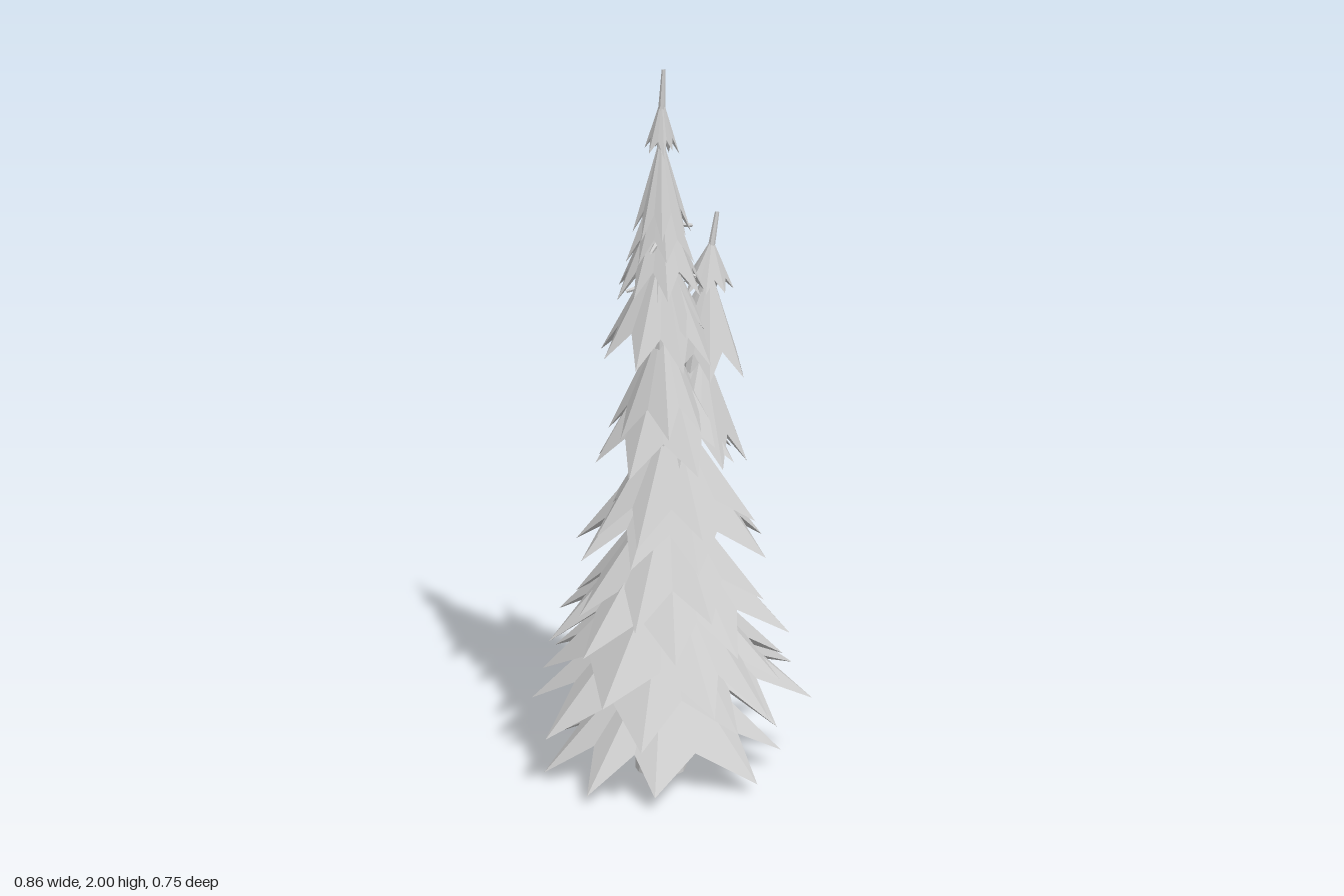
import * as THREE from 'three';

// Small seeded generator for natural irregularity
function seeded(seed) {
  let s = seed;
  return () => (s = (s * 16807) % 2147483647) / 2147483647;
}

// Ring of bough tips [x, z, y] around a centre, slightly uneven and flatter in depth
function ringOfTips(n, cx, radius, depth, tipY, turn, rand) {
  return Array.from({ length: n }, (_, i) => {
    const a = turn + (i + (rand() - 0.5) * 0.4) * 2 * Math.PI / n;
    const r = radius * (0.88 + rand() * 0.17);
    return [cx + Math.cos(a) * r, Math.sin(a) * r * depth, tipY + (rand() - 0.4) * 0.03];
  });
}

// One drooping skirt of broad folded boughs, closed underneath
function skirtGeometry(tips, cx, topY) {
  const rim = [], pos = [];
  tips.forEach(([x, z, y], i) => {
    const [x2, z2, y2] = tips[(i + 1) % tips.length];
    const r1 = Math.hypot(x - cx, z), r2 = Math.hypot(x2 - cx, z2);
    // The notch lies between two tips, halfway round and part way out
    const a = Math.atan2(z / r1 + z2 / r2, (x - cx) / r1 + (x2 - cx) / r2);
    const r = (r1 + r2) * 0.34;
    rim.push([x, y, z]);
    rim.push([cx + Math.cos(a) * r, topY - (topY - (y + y2) / 2) * 0.75, Math.sin(a) * r]);
  });
  const lowest = Math.min(...tips.map((t) => t[2]));
  const apex = [cx, topY, 0], under = [cx, topY - (topY - lowest) * 0.52, 0];
  rim.forEach((p, i) => {
    const q = rim[(i + 1) % rim.length];
    pos.push(...apex, ...q, ...p, ...under, ...p, ...q);
  });
  const g = new THREE.BufferGeometry();
  g.setAttribute('position', new THREE.Float32BufferAttribute(pos, 3));
  g.computeVertexNormals();
  return g;
}

export function createModel() {
  const tree = new THREE.Group();
  tree.name = 'twinFirTree';
  const grey = new THREE.MeshStandardMaterial({ color: 0xcccccc, flatShading: true, side: THREE.DoubleSide });
  grey.name = 'paleGrey';
  const rand = seeded(4711);
  const add = (name, geometry) => {
    const m = new THREE.Mesh(geometry, grey);
    m.name = name;
    tree.add(m);
    return m;
  };

  // Tapered open rod between two points
  const rod = (name, a, b, ra, rb, sides = 8) => {
    const from = new THREE.Vector3(...a), to = new THREE.Vector3(...b);
    const dir = to.clone().sub(from);
    const m = add(name, new THREE.CylinderGeometry(rb, ra, dir.length(), sides, 1, true));
    m.position.copy(from).addScaledVector(dir, 0.5);
    m.quaternion.setFromUnitVectors(new THREE.Vector3(0, 1, 0), dir.normalize());
  };

  // Trunks and bare leader shoots
  rod('trunk', [-0.058, 0, 0], [-0.05, 1.0, 0], 0.073, 0.045, 12);
  rod('upperTrunk', [-0.05, 1.0, 0], [-0.052, 1.9, 0], 0.045, 0.008);
  rod('leader', [-0.053, 1.86, 0], [-0.045, 2.0, 0], 0.011, 0.005, 6);
  rod('sideTrunk', [-0.03, 0.7, 0], [0.092, 1.48, 0.01], 0.04, 0.012);
  rod('sideLeader', [0.095, 1.47, 0.01], [0.12, 1.6, 0.01], 0.011, 0.006, 6);

  // Three lowest skirts, with each bough tip placed as [x, z, y]
  add('lowestBoughs', skirtGeometry([
    [0.3, -0.09, 0.03], [0.22, 0.2, 0.06], [0.07, 0.3, 0.03], [-0.23, 0.24, 0.04],
    [-0.37, 0.11, 0.03], [-0.39, -0.09, 0.03], [-0.21, -0.31, 0.03], [0.19, -0.36, 0.03],
  ], -0.05, 0.4));
  add('lowBoughs', skirtGeometry([
    [0.425, -0.04, 0.2], [0.32, 0.21, 0.2], [0.12, 0.32, 0.2], [-0.04, 0.365, 0.23], [-0.28, 0.25, 0.19],
    [-0.43, -0.01, 0.17], [-0.35, -0.225, 0.2], [-0.09, -0.36, 0.2], [0.2, -0.28, 0.2],
  ], -0.045, 0.58));
  add('thirdBoughs', skirtGeometry([
    [0.34, -0.09, 0.28], [0.3, 0.09, 0.3], [0.18, 0.25, 0.3], [0.06, 0.375, 0.25], [-0.1, 0.34, 0.28],
    [-0.345, 0.155, 0.3], [-0.31, -0.23, 0.28], [-0.215, -0.32, 0.3], [-0.04, -0.375, 0.26], [0.18, -0.24, 0.3],
  ], -0.04, 0.66));

  // Main boughs above: centre x, tip height, top height, radius, depth ratio, points
  [
    [-0.03, 0.42, 0.80, 0.345, 0.92, 9],
    [-0.03, 0.51, 0.86, 0.285, 0.92, 8],
    [-0.01, 0.66, 1.02, 0.29, 0.85, 8],
    [-0.02, 0.73, 1.08, 0.235, 0.9, 8],
    [-0.045, 0.93, 1.26, 0.215, 0.92, 8],
    [-0.05, 1.02, 1.32, 0.155, 1, 7],
    [-0.05, 1.22, 1.54, 0.175, 0.95, 8],
    [-0.052, 1.28, 1.56, 0.12, 1, 7],
    [-0.053, 1.39, 1.68, 0.135, 0.9, 8],
    [-0.054, 1.49, 1.74, 0.1, 1, 7],
    [-0.053, 1.56, 1.83, 0.082, 1, 8],
    [-0.05, 1.78, 1.93, 0.046, 1, 7],
  ].forEach(([x, tip, top, r, depth, n], i) => {
    add('bough' + (i + 1), skirtGeometry(ringOfTips(n, x, r, depth, tip, i * 2.4, rand), x, top));
  });

  // Boughs of the leaning side top: centre x, tip height, top height, radius, points
  [
    [0.055, 0.92, 1.24, 0.185, 8],
    [0.08, 1.15, 1.45, 0.14, 7],
    [0.095, 1.38, 1.53, 0.072, 7],
  ].forEach(([x, tip, top, r, n], i) => {
    const h = (top - tip) / 2;
    const m = add('sideBough' + (i + 1), skirtGeometry(ringOfTips(n, 0, r, 0.95, -h, i * 0.2, rand), 0, h));
    m.position.set(x, tip + h, 0.01);
    m.rotation.z = -0.12;
  });

  // Short bare twigs around the upper trunk
  for (let i = 0; i < 5; i++) {
    const a = i * 2.4, y = 1.57 - i * 0.04, r = 0.1;
    rod('twig' + (i + 1), [-0.055, y + 0.02, 0],
      [-0.055 + Math.cos(a) * r, y, Math.sin(a) * r], 0.01, 0.005, 5);
  }
  return tree;
}
